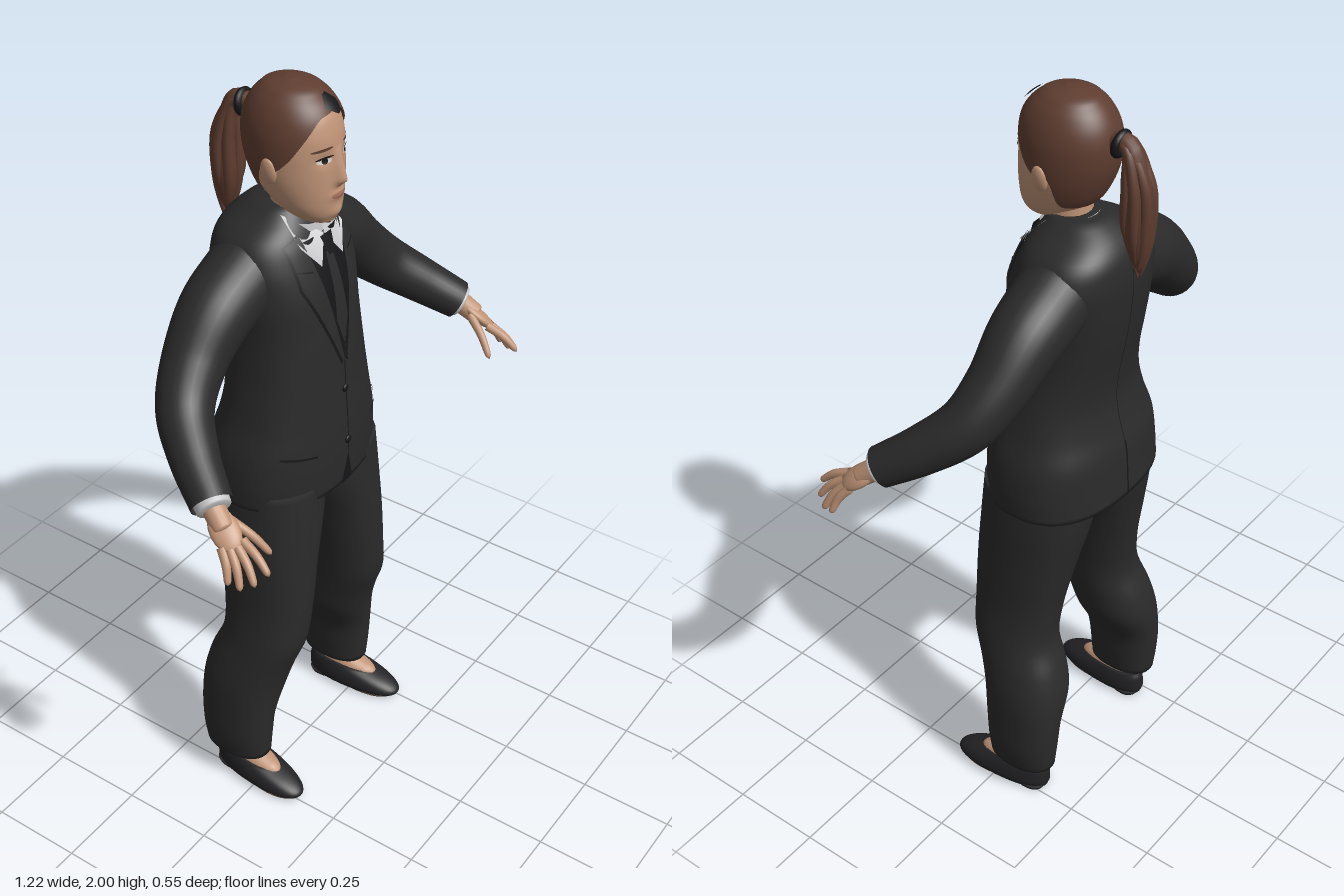
import * as THREE from 'three';
import { mergeVertices } from 'three/addons/utils/BufferGeometryUtils.js';

const mat = (name, color, side = THREE.DoubleSide) => {
  const m = new THREE.MeshStandardMaterial({ color, side });
  m.name = name;
  return m;
};
const V = (x, y, z) => new THREE.Vector3(x, y, z);
const clamp = THREE.MathUtils.clamp;
const bell = (d, w) => Math.exp(-((d / w) ** 2));

// Weld seams and smooth the normals
function smooth(geo) {
  geo.deleteAttribute('uv');
  geo.deleteAttribute('normal');
  const g = mergeVertices(geo, 1e-5);
  g.computeVertexNormals();
  return g;
}
// Surface from a rule f(u, v) -> [x, y, z]
function grid(nu, nv, f) {
  const geo = new THREE.PlaneGeometry(1, 1, nu, nv);
  const p = geo.attributes.position;
  for (let i = 0; i < p.count; i++) p.setXYZ(i, ...f(p.getX(i) + 0.5, p.getY(i) + 0.5));
  return smooth(geo);
}
// Smoothly sampled table of rows [key, ...values]
function sampler(rows) {
  const n = rows[0].length - 1;
  const it = new THREE.CubicInterpolant(rows.map(r => r[0]), rows.flatMap(r => r.slice(1)), n);
  return k => Array.from(it.evaluate(clamp(k, rows[0][0], rows[rows.length - 1][0])));
}
// Horizontal cross-sections [y, centreX, halfWidth, backZ, frontZ]
function body(rows, power = 2) {
  const at = sampler(rows), y0 = rows[0][0], y1 = rows[rows.length - 1][0];
  const sp = a => Math.sign(a) * Math.abs(a) ** (2 / power);
  const point = (th, y, grow = 0) => {
    const [cx, rx, zb, zf] = at(y);
    return [cx + (rx + grow) * sp(Math.sin(th)), y, (zf + zb) / 2 + ((zf - zb) / 2 + grow) * sp(Math.cos(th))];
  };
  const zAt = (x, y, sign = 1) => {
    const [cx, rx, zb, zf] = at(y);
    const k = Math.min(1, Math.abs((x - cx) / rx));
    return (zf + zb) / 2 + sign * (zf - zb) / 2 * (1 - k ** power) ** (1 / power);
  };
  const loft = (nu = 40, nv = 50) => grid(nu, nv + 2, (u, v) => {
    const j = Math.round(v * (nv + 2)) - 1;
    const y = y0 + (y1 - y0) * clamp(j / nv, 0, 1);
    if (j < 0 || j > nv) { const [cx, , zb, zf] = at(y); return [cx, y, (zb + zf) / 2]; }
    return point(u * 2 * Math.PI, y);
  });
  return { at, point, zAt, loft };
}
// Tube with changing radius, optionally rounded shut at its end
function taper(points, radii, round = false, segs = 28, sides = 18) {
  const curve = new THREE.CatmullRomCurve3(points);
  const geo = new THREE.TubeGeometry(curve, segs, 1, sides);
  const rad = sampler(radii.map((r, i) => [i / (radii.length - 1), r]));
  const p = geo.attributes.position, v = V();
  for (let i = 0; i < p.count; i++) {
    const u = Math.floor(i / (sides + 1)) / segs, c = curve.getPointAt(u);
    let r = Math.max(rad(u)[0], 0.0002);
    if (round) r *= Math.sqrt(Math.max(0, 1 - Math.max(0, (u - 0.85) / 0.15) ** 2));
    v.fromBufferAttribute(p, i).sub(c).multiplyScalar(r).add(c);
    p.setXYZ(i, v.x, v.y, v.z);
  }
  return smooth(geo);
}
// Thin panel between two edge polylines, laid on a surface z(x, y)
function panel(a, b, z, lift) {
  const on = (e, t) => {
    const k = t * (e.length - 1), i = Math.min(Math.floor(k), e.length - 2), f = k - i;
    return [0, 1].map(c => e[i][c] * (1 - f) + e[i + 1][c] * f);
  };
  return grid(8, 24, (u, v) => {
    const p = on(a, 1 - v), q = on(b, 1 - v);
    const x = p[0] * (1 - u) + q[0] * u, y = p[1] * (1 - u) + q[1] * u;
    return [x, y, z(x, y) + lift];
  });
}
const oval = (cx, cy, w, h, z, lift, tilt = 0) => {
  const arc = s => Array.from({ length: 13 }, (_, i) => {
    const t = Math.PI * i / 12, x = -Math.cos(t) * w;
    return [cx + x, cy + s * Math.sin(t) * h + x * tilt];
  });
  return panel(arc(1), arc(-1), z, lift);
};

export function createModel() {
  const root = new THREE.Group();
  const suit = mat('suit cloth', 0x2a2a2b), trim = mat('dark trim', 0x161618), shirt = mat('shirt', 0xc6c6c8);
  const skin = mat('skin', 0xc09477), hair = mat('hair', 0x5f3d30), leather = mat('shoe leather', 0x232326);
  const soleMat = mat('sole', 0x66503f), lip = mat('lips', 0xa56f5c), white = mat('eye white', 0xd8d2cc);
  const add = (name, geo, m, parent = root) => {
    const mesh = new THREE.Mesh(geo, m);
    mesh.name = name;
    parent.add(mesh);
    return mesh;
  };
  const ball = (name, m, pos, scale) => {
    const b = add(name, new THREE.SphereGeometry(1, 20, 14), m);
    b.position.set(...pos);
    b.scale.set(...scale);
    return b;
  };

  // Jacket
  const torso = body([
    [0.94, 0, 0.245, -0.235, 0.107], [1.0, 0, 0.245, -0.23, 0.11], [1.08, 0, 0.235, -0.222, 0.11],
    [1.15, 0, 0.214, -0.202, 0.106], [1.22, 0, 0.199, -0.19, 0.1], [1.3, 0, 0.186, -0.196, 0.095],
    [1.4, 0, 0.18, -0.214, 0.085], [1.5, 0, 0.185, -0.226, 0.07], [1.58, 0, 0.182, -0.228, 0.045],
    [1.64, 0, 0.15, -0.212, 0.02], [1.68, 0, 0.088, -0.175, -0.005], [1.7, 0, 0.06, -0.14, -0.02]], 2.4);
  add('jacket', torso.loft(56, 64), suit);
  const front = (x, y) => torso.zAt(x, y), back = (x, y) => torso.zAt(x, y, -1);
  add('vest', panel([[-0.07, 1.63], [-0.045, 1.5], [-0.004, 1.31]], [[0.07, 1.63], [0.045, 1.5], [0.004, 1.31]], front, 0.003), trim);
  add('tie', panel([[-0.012, 1.59], [-0.022, 1.42], [0, 1.35]], [[0.012, 1.59], [0.022, 1.42], [0, 1.35]], front, 0.009), suit);
  add('tieKnot', panel([[-0.022, 1.632], [-0.011, 1.585]], [[0.022, 1.632], [0.011, 1.585]], front, 0.017), trim);
  const line = (name, x0, y0, x1, y1, z, lift, w = 0.002) => {
    const l = Math.hypot(x1 - x0, y1 - y0), nx = -(y1 - y0) / l * w, ny = (x1 - x0) / l * w;
    add(name, panel([[x0 + nx, y0 + ny], [x1 + nx, y1 + ny]], [[x0 - nx, y0 - ny], [x1 - nx, y1 - ny]], z, lift), trim);
  };
  line('frontSeam', 0.002, 1.31, 0, 1.03, front, 0.003);
  line('backSeam', 0, 1.62, 0, 1.1, back, -0.002, 0.0012);
  line('backVent', 0, 1.1, 0.004, 0.945, back, -0.003, 0.003);
  add('frontCutaway', panel([[0, 1.03], [-0.024, 0.941]], [[0, 1.03], [0.024, 0.941]], front, 0.003), trim);
  for (const y of [1.22, 1.07]) ball('button', trim, [0, y, front(0, y) + 0.003], [0.011, 0.011, 0.005]);

  for (const s of [1, -1]) {
    const m = pts => pts.map(([x, y]) => [s * x, y]);
    // Lapel with a dark edge, pocket and shirt collar wing
    add('lapelEdge', panel(m([[0.071, 1.65], [0.041, 1.5], [0.001, 1.305]]),
      m([[0.118, 1.63], [0.112, 1.528], [0.014, 1.295]]), front, 0.005), trim);
    add('lapel', panel(m([[0.074, 1.648], [0.045, 1.5], [0.005, 1.31]]),
      m([[0.114, 1.632], [0.107, 1.53], [0.01, 1.3]]), front, 0.009), suit);
    line('lapelNotch', s * 0.07, 1.565, s * 0.11, 1.575, front, 0.011);
    line('pocket', s * 0.115, 1.078, s * 0.2, 1.095, front, 0.004, 0.003);
    const q = [[0, 1.632, 0.036], [0.042, 1.568, 0.062], [0.084, 1.625, 0.03], [0.073, 1.688, -0.035]];
    add('collarWing', grid(6, 6, (u, v) => [0, 1, 2].map(c => (c ? 1 : s) *
      ((q[0][c] * (1 - u) + q[1][c] * u) * (1 - v) + (q[3][c] * (1 - u) + q[2][c] * u) * v))), shirt);

    // Sleeve and shirt cuff
    add('sleeve', taper([V(s * 0.12, 1.54, -0.1), V(s * 0.24, 1.485, -0.102), V(s * 0.335, 1.4, -0.095),
      V(s * 0.41, 1.325, -0.065), V(s * 0.475, 1.26, 0.01), V(s * 0.53, 1.2, 0.1)],
    [0.098, 0.092, 0.079, 0.069, 0.06, 0.051], false, 48, 28), suit);
    add('shirtCuff', taper([V(s * 0.515, 1.217, 0.075), V(s * 0.536, 1.193, 0.114)], [0.045, 0.042], true), shirt);

    // Hand
    const hand = new THREE.Group();
    hand.name = s > 0 ? 'leftHand' : 'rightHand';
    root.add(hand);
    const W = V(s * 0.53, 1.2, 0.1), K = V(s * 0.563, 1.133, 0.185);
    add('wrist', taper([W, W.clone().lerp(K, 0.6)], [0.029, 0.026], true), skin, hand);
    const d = K.clone().sub(W).normalize(), across = V(s * 0.04, -0.01, -0.04);
    across.addScaledVector(d, -across.dot(d)).normalize();
    const n = d.clone().cross(across), c = W.clone().lerp(K, 0.58);
    const palm = new THREE.SphereGeometry(1, 20, 14).applyMatrix4(new THREE.Matrix4().makeBasis(
      across.clone().multiplyScalar(0.035), n.multiplyScalar(0.017), d.clone().multiplyScalar(0.058)).setPosition(c));
    add('palm', palm, skin, hand);
    const fingers = [[0.538, 1.145, 0.19, 0.553, 1.09, 0.275], [0.556, 1.137, 0.19, 0.583, 1.07, 0.257],
      [0.568, 1.133, 0.178, 0.6, 1.056, 0.228], [0.576, 1.135, 0.16, 0.606, 1.062, 0.198],
      [0.522, 1.172, 0.145, 0.484, 1.087, 0.232]];
    for (const [a, b, e, f, g, h] of fingers) {
      const A = V(s * a, b, e), B = V(s * f, g, h), mid = A.clone().lerp(B, 0.5).add(V(0, 0.006, 0.004));
      add('finger', taper([A, mid, B], [0.012, 0.0105, 0.008], true, 16, 10), skin, hand);
    }

    // Trouser leg
    const leg = body([[0.1, 0.235, 0.06, -0.17, 0.02], [0.16, 0.236, 0.068, -0.176, 0.024], [0.25, 0.23, 0.073, -0.182, 0.032],
      [0.35, 0.204, 0.094, -0.181, 0.048], [0.42, 0.193, 0.093, -0.165, 0.068], [0.5, 0.181, 0.089, -0.134, 0.096],
      [0.6, 0.166, 0.088, -0.138, 0.104], [0.75, 0.147, 0.1, -0.165, 0.104], [0.88, 0.124, 0.119, -0.19, 0.1],
      [0.98, 0.112, 0.124, -0.2, 0.095]].map(([y, x, ...r]) => [y, s * x, ...r]), 2.3);
    add('trouserLeg', leg.loft(40, 56), suit);

    // Shoe, sole, heel and foot
    const foot = new THREE.Group();
    foot.name = s > 0 ? 'leftFoot' : 'rightFoot';
    foot.position.set(s * 0.23, 0, -0.04);
    foot.rotation.y = s * 0.08;
    root.add(foot);
    const shoe = body([[0.005, 0, 0.046, -0.105, 0.165], [0.02, 0, 0.054, -0.11, 0.178], [0.045, 0, 0.054, -0.11, 0.168],
      [0.065, 0, 0.049, -0.108, 0.135], [0.08, 0, 0.042, -0.1, 0.085]], 2.2).loft(40, 20);
    const p = shoe.attributes.position;
    for (let i = 0; i < p.count; i++) p.setY(i, p.getY(i) * (0.95 - 0.25 * clamp(p.getZ(i) / 0.17, 0, 1)));
    shoe.computeVertexNormals();
    add('shoe', shoe, leather, foot);
    add('sole', body([[0, 0, 0.043, -0.02, 0.16], [0.008, 0, 0.046, -0.02, 0.165]], 2.2).loft(32, 2), soleMat, foot);
    add('heel', body([[0, 0, 0.038, -0.1, -0.02], [0.012, 0, 0.042, -0.105, -0.015]], 2.6).loft(32, 2), leather, foot);
    add('ankle', body([[0.04, 0, 0.042, -0.095, 0.11], [0.072, 0, 0.038, -0.092, 0.09], [0.09, 0, 0.034, -0.088, 0.045],
      [0.14, 0, 0.033, -0.085, 0.015]]).loft(28, 16), skin, foot);
  }

  // Neck and collar band
  add('neck', taper([V(0, 1.58, -0.06), V(0, 1.67, -0.05), V(0, 1.76, -0.045)], [0.062, 0.056, 0.056]), skin);
  add('collarBand', grid(40, 4, (u, v) => {
    const t = u * 2 * Math.PI, r = 0.076 - 0.008 * v;
    return [r * Math.sin(t), 1.62 + 0.06 * v - 0.022 * Math.cos(t), -0.05 + r * 1.06 * Math.cos(t)];
  }), shirt);

  // Head
  const skull = body([[1.664, 0, 0.004, 0.02, 0.035], [1.67, 0, 0.03, -0.02, 0.057], [1.685, 0, 0.053, -0.055, 0.068],
    [1.71, 0, 0.073, -0.09, 0.075], [1.74, 0, 0.087, -0.122, 0.077], [1.78, 0, 0.098, -0.145, 0.077],
    [1.82, 0, 0.103, -0.16, 0.076], [1.86, 0, 0.104, -0.167, 0.075], [1.9, 0, 0.1, -0.165, 0.069],
    [1.94, 0, 0.086, -0.15, 0.053], [1.97, 0, 0.064, -0.125, 0.024], [1.986, 0, 0.04, -0.1, -0.005], [1.994, 0, 0.008, -0.06, -0.044]]);
  const relief = (x, y) => {
    const nose = y > 1.785 ? clamp((1.865 - y) / 0.08, 0, 1) : clamp((y - 1.765) / 0.02, 0, 1);
    return 0.024 * nose * bell(x, 0.014) - 0.006 * bell(Math.abs(x) - 0.04, 0.02) * bell(y - 1.842, 0.014)
      + 0.006 * bell(x, 0.025) * bell(y - 1.747, 0.012) + 0.005 * bell(x, 0.025) * bell(y - 1.7, 0.014);
  };
  const face = (x, y) => skull.zAt(x, y) + relief(x, y);
  add('head', grid(96, 90, (u, v) => {
    const y = 1.664 + 0.33 * (1 - Math.cos(v * Math.PI)) / 2, th = u * 2 * Math.PI;
    const [x, , z] = skull.point(th, y);
    return [x, y, Math.cos(th) > 0 ? z + relief(x, y) : z];
  }), skin);

  // Hair cap following the hairline from forehead to nape
  const hairline = sampler([[0, 1.945], [0.5, 1.932], [0.85, 1.89], [1.15, 1.845], [1.45, 1.815], [1.75, 1.815], [2.05, 1.75], [2.5, 1.735], [3.15, 1.735]]);
  add('hairCap', grid(72, 40, (u, v) => {
    const th = u * 2 * Math.PI, low = hairline(Math.min(th, 2 * Math.PI - th))[0];
    const y = low + (1.994 - low) * Math.sin(v * Math.PI / 2);
    const [x, , z] = skull.point(th, y, 0.007);
    return v > 0.999 ? [0, 2, -0.052] : [x, y + 0.006 * v, z];
  }), hair);
  add('hairParting', panel([[-0.004, 1.978], [-0.022, 1.958], [0.006, 1.94]], [[0.012, 1.98], [0.03, 1.962], [0.022, 1.942]], face, 0.018), trim);

  // Ponytail with loose strands and its band
  const tail = (dx, dz, end, r) => taper([V(0, 1.895, -0.15), V(dx * 0.5, 1.905, -0.205), V(dx, 1.82, -0.235 + dz),
    V(dx, 1.7, -0.238 + dz), V(dx * 0.5, end, -0.243)], r, true, 32, 14);
  add('ponytail', tail(0, 0, 1.59, [0.02, 0.026, 0.036, 0.034, 0.008]), hair);
  for (let i = 0; i < 7; i++) {
    const a = i * 2 * Math.PI / 7;
    add('strand', tail(0.028 * Math.sin(a), 0.026 * Math.cos(a), 1.57 + 0.022 * (i * 3 % 4), [0.01, 0.012, 0.014, 0.013, 0.004]), hair);
  }
  const band = add('hairBand', new THREE.TorusGeometry(0.025, 0.01, 10, 24), trim);
  band.position.set(0, 1.9, -0.186);
  band.rotation.x = -0.15;

  // Ears and face details
  for (const s of [1, -1]) {
    const ear = ball('ear', skin, [s * 0.106, 1.812, -0.042], [0.011, 0.034, 0.021]);
    ear.rotation.z = -s * 0.15;
    add('eye', oval(s * 0.04, 1.84, 0.018, 0.0075, face, 0.002), white);
    add('iris', oval(s * 0.039, 1.84, 0.0075, 0.0072, face, 0.0035), trim);
    add('upperLash', oval(s * 0.041, 1.848, 0.021, 0.003, face, 0.004, -s * 0.12), trim);
    add('eyebrow', oval(s * 0.044, 1.868, 0.025, 0.0035, face, 0.002, -s * 0.12), hair);
    add('nostril', oval(s * 0.008, 1.772, 0.004, 0.002, face, 0.001), lip);
  }
  add('lips', oval(0, 1.747, 0.026, 0.0085, face, 0.0015), lip);
  return root;
}
